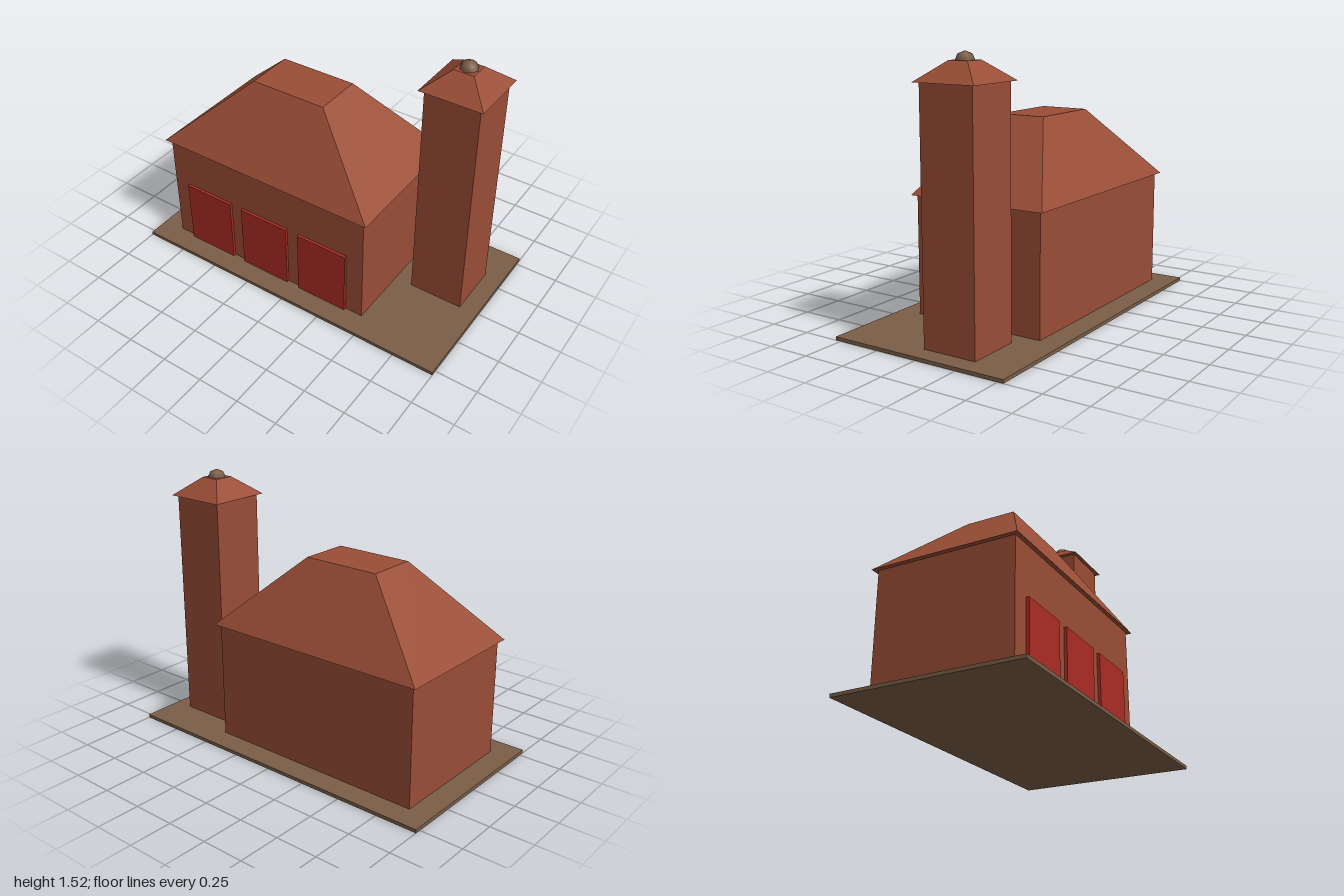
import * as THREE from 'three';

function material(name, color) {
  const m = new THREE.MeshStandardMaterial({ color });
  m.name = name;
  return m;
}

// Box spanning y0..y1 whose top rectangle may differ in size from its bottom
function block(name, mat, [x, z], y0, y1, [w, d], [topW, topD] = [w, d]) {
  const geo = new THREE.BoxGeometry(w, y1 - y0, d);
  const p = geo.attributes.position;
  for (let i = 0; i < p.count; i++) {
    if (p.getY(i) > 0) {
      p.setX(i, Math.sign(p.getX(i)) * topW / 2);
      p.setZ(i, Math.sign(p.getZ(i)) * topD / 2);
    }
  }
  geo.computeVertexNormals();
  const mesh = new THREE.Mesh(geo, mat);
  mesh.name = name;
  mesh.position.set(x, (y0 + y1) / 2, z);
  return mesh;
}

export function createModel() {
  const brick = material('brick red', 0x994d36);
  const earth = material('earth brown', 0x7a5d47);
  const doorRed = material('door red', 0xaa2c24);
  const model = new THREE.Group();
  model.name = 'barnWithTower';

  // Ground slab
  model.add(block('groundSlab', earth, [0, 0], 0, 0.02, [2, 1.067]));

  // Barn: walls, hipped roof with a flat top, three doors
  const barn = new THREE.Group();
  barn.name = 'barn';
  const barnAt = [-0.2, 0];
  barn.add(block('barnWalls', brick, barnAt, 0.02, 0.706, [1.333, 0.8]));
  barn.add(block('barnRoof', brick, barnAt, 0.706, 1.13, [1.387, 0.85], [0.467, 0.29]));
  for (const x of [-0.6, -0.2, 0.2]) {
    barn.add(block('barnDoor', doorRed, [x, 0.407], 0.02, 0.42, [0.32, 0.02]));
  }
  model.add(barn);

  // Tower: square shaft, hipped cap, round finial
  const tower = new THREE.Group();
  tower.name = 'tower';
  const towerAt = [0.732, -0.133];
  tower.add(block('towerShaft', brick, towerAt, 0.02, 1.373, [0.32, 0.32]));
  tower.add(block('towerCap', brick, towerAt, 1.373, 1.477, [0.37, 0.37], [0.115, 0.115]));
  const finial = new THREE.Mesh(new THREE.SphereGeometry(0.053, 8, 4), earth);
  finial.name = 'towerFinial';
  finial.position.set(towerAt[0], 1.47, towerAt[1]);
  tower.add(finial);
  model.add(tower);

  return model;
}
